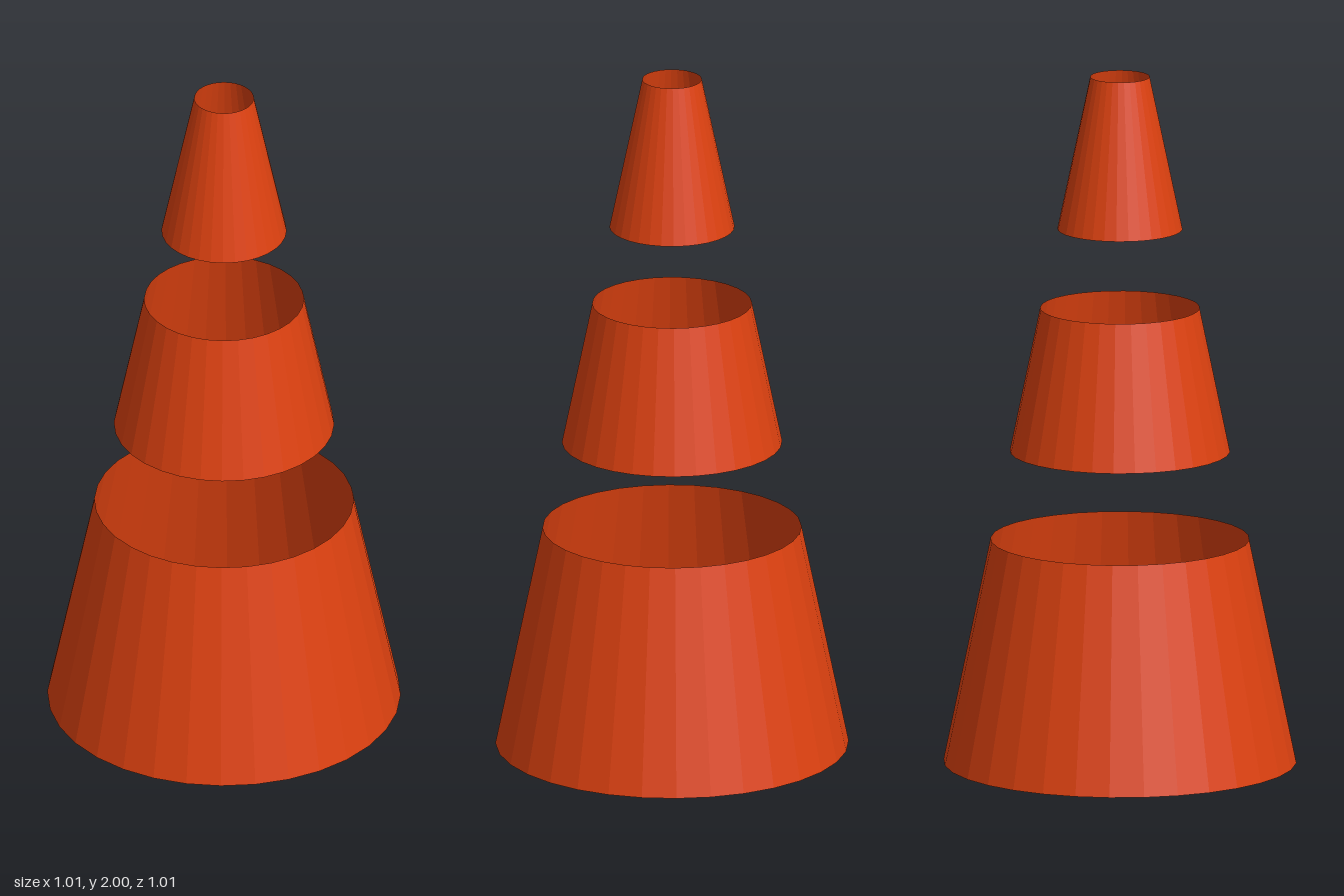
import * as THREE from 'three';

export function createModel() {
  const group = new THREE.Group();
  const orange = new THREE.MeshStandardMaterial({ color: 0xe04210, flatShading: true, side: THREE.DoubleSide });

  // Open conical band between two heights
  function band(name, bottomRadius, topRadius, y0, y1) {
    const geometry = new THREE.CylinderGeometry(topRadius, bottomRadius, y1 - y0, 32, 1, true);
    const mesh = new THREE.Mesh(geometry, orange);
    mesh.name = name;
    mesh.position.y = (y0 + y1) / 2;
    group.add(mesh);
  }

  band('lowerBand', 0.505, 0.37, 0, 0.65);
  band('middleBand', 0.315, 0.228, 0.906, 1.325);
  band('upperBand', 0.179, 0.085, 1.555, 2);

  group.name = 'bandedCone';
  return group;
}
